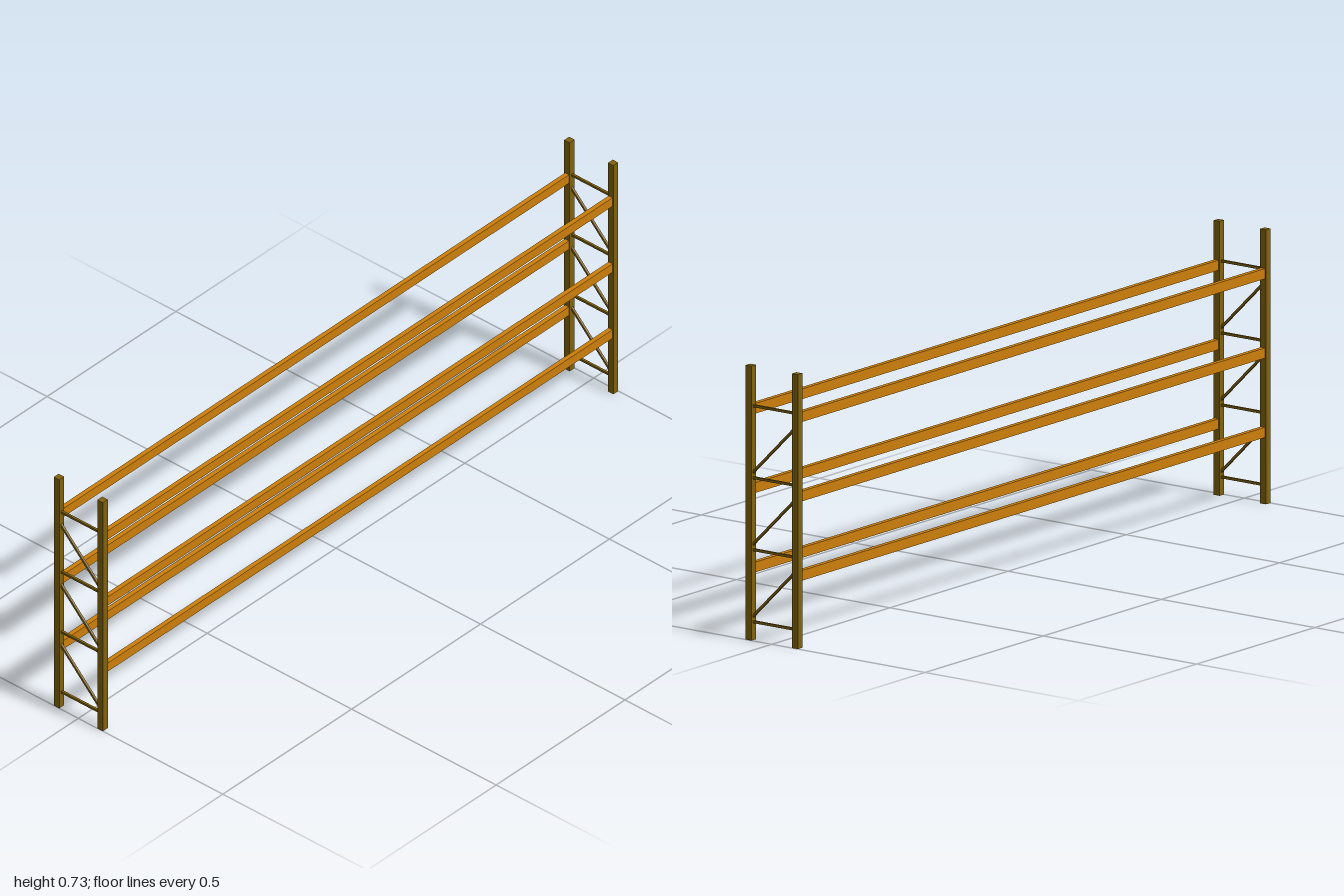
import * as THREE from 'three';

const POST_X = 0.9905, POST_Z = 0.0755, POST = 0.019, HEIGHT = 0.73;
const BRACE = 0.0065;

export function createModel() {
  const rack = new THREE.Group();
  rack.name = 'palletRack';
  const frameMat = new THREE.MeshStandardMaterial({ color: 0x80620e });
  const beamMat = new THREE.MeshStandardMaterial({ color: 0xcc7f0a });

  const addBox = (parent, name, size, pos, mat, tilt = 0) => {
    const mesh = new THREE.Mesh(new THREE.BoxGeometry(...size), mat);
    mesh.name = name;
    mesh.position.set(...pos);
    mesh.rotation.x = tilt;
    parent.add(mesh);
  };

  // End frames: two posts joined by level and diagonal braces
  for (const side of [1, -1]) {
    const frame = new THREE.Group();
    frame.name = side > 0 ? 'leftFrame' : 'rightFrame';
    frame.position.x = side * POST_X;
    rack.add(frame);

    addBox(frame, 'frontPost', [POST, HEIGHT, POST], [0, HEIGHT / 2, POST_Z], frameMat);
    addBox(frame, 'backPost', [POST, HEIGHT, POST], [0, HEIGHT / 2, -POST_Z], frameMat);

    for (let i = 0; i < 4; i++) {
      const y = 0.0485 + i * 0.1915;
      addBox(frame, 'levelBrace', [BRACE, BRACE, 0.14], [0, y, 0], frameMat);
      // Diagonals rise from the front post to the back post
      if (i < 3) addBox(frame, 'diagonalBrace', [BRACE, BRACE, 0.198], [0, y + 0.082, 0], frameMat, Math.PI / 4);
    }
  }

  // Load beams, front and back, on three levels
  const beamLength = 2 * POST_X - POST;
  for (const y of [0.191, 0.402, 0.613]) {
    addBox(rack, 'frontBeam', [beamLength, 0.027, 0.0135], [0, y, POST_Z], beamMat);
    addBox(rack, 'backBeam', [beamLength, 0.027, 0.0135], [0, y, -POST_Z], beamMat);
  }
  return rack;
}
